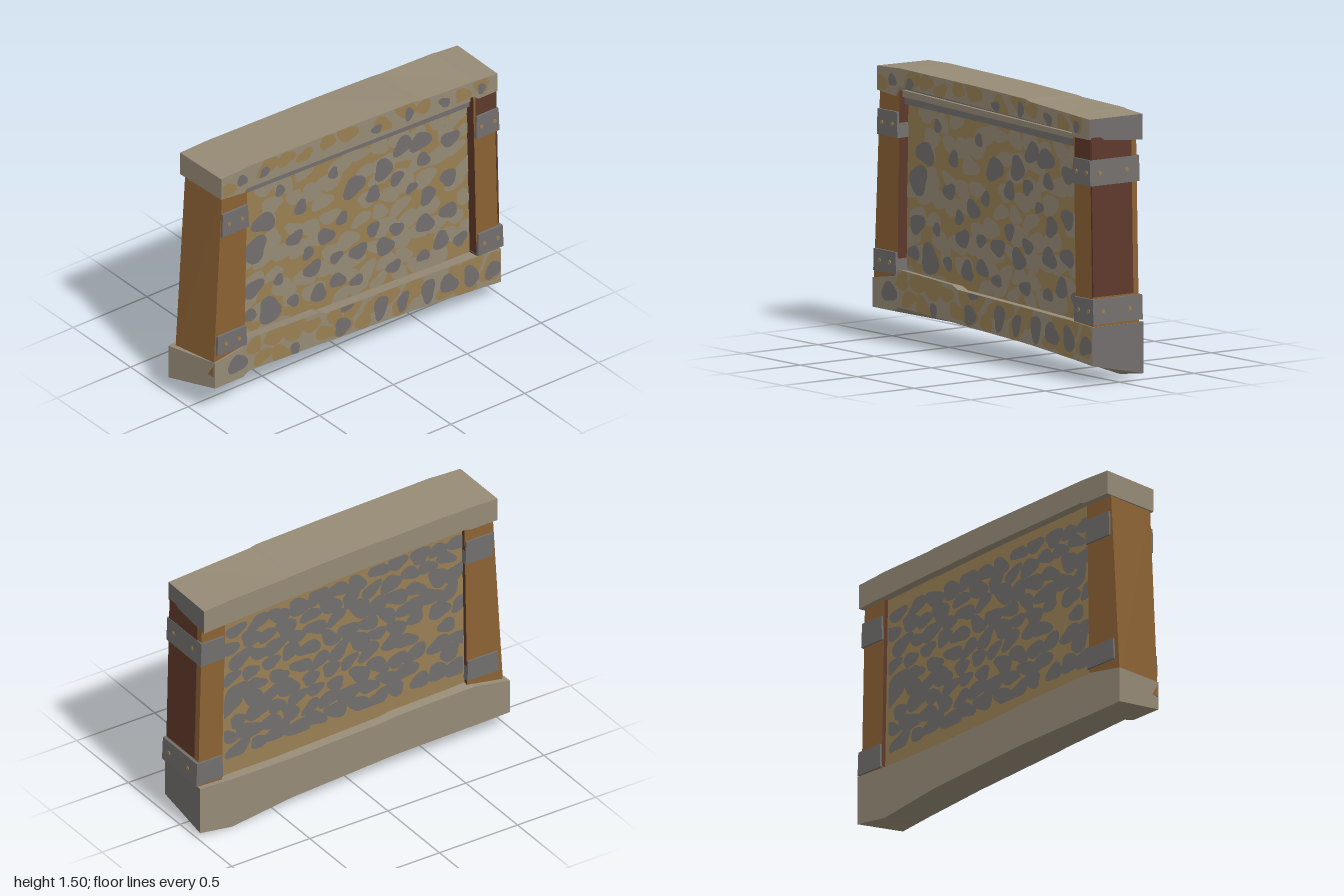
import * as THREE from 'three';
import { mergeGeometries } from 'three/addons/utils/BufferGeometryUtils.js';

const mat = (name, color) => Object.assign(new THREE.MeshStandardMaterial({ color }), { name });
const beige = mat('pale stone', 0x968b76), grey = mat('grey stone', 0x726f6d);
const tan = mat('tan mortar', 0x9a8054), wood = mat('orange wood', 0x8c6234);
const brown = mat('dark wood', 0x5e392b);

let seed = 11;
const rnd = () => (seed = (seed * 16807) % 2147483647) / 2147483647;

// Solid lofted through four-cornered sections; mats = 4 sides, start cap, end cap
function loft(name, sections, mats) {
  const pos = [], g = new THREE.BufferGeometry();
  const quad = (a, b, c, d) => pos.push(...a, ...b, ...c, ...a, ...c, ...d);
  const addGroup = (start, m) => g.addGroup(start, pos.length / 3 - start, m);
  for (let k = 0; k < 4; k++) {
    const start = pos.length / 3, n = (k + 1) % 4;
    for (let i = 0; i + 1 < sections.length; i++) {
      const a = sections[i], b = sections[i + 1];
      quad(a[k], a[n], b[n], b[k]);
    }
    addGroup(start, k);
  }
  const s = sections[0], e = sections[sections.length - 1];
  quad(s[3], s[2], s[1], s[0]);
  addGroup(pos.length / 3 - 6, 4);
  quad(e[0], e[1], e[2], e[3]);
  addGroup(pos.length / 3 - 6, 5);
  g.setAttribute('position', new THREE.Float32BufferAttribute(pos, 3));
  g.computeVertexNormals();
  const mesh = new THREE.Mesh(g, mats);
  mesh.name = name;
  return mesh;
}

// Beam along x; rows: x front, x back, front top, front bottom, back top, back bottom
const beam = (name, rows, zf, zb, mats) => loft(name, rows.map(([xf, xb, ft, fb, bt, bb]) =>
  [[xf, ft, zf], [xf, fb, zf], [xb, bb, zb], [xb, bt, zb]]), mats);

// Upright piece; rows: y, left front x, left back x, right x
const upright = (name, rows, zf, zb, mats) => loft(name, rows.map(([y, lf, lb, r]) =>
  [[lf, y, zf], [r, y, zf], [r, y, zb], [lb, y, zb]]), mats);

const six = m => Array(6).fill(m);

// Straight-line interpolation through [x, y] points
function along(points) {
  return x => {
    let i = 0;
    while (i < points.length - 2 && x > points[i + 1][0]) i++;
    const [x0, y0] = points[i], [x1, y1] = points[i + 1];
    return THREE.MathUtils.lerp(y0, y1, THREE.MathUtils.clamp((x - x0) / (x1 - x0), 0, 1));
  };
}

// Irregular flat patches [x, y, rx, ry], kept inside an area
function patches(name, material, list, z, area, back = false) {
  const geos = list.map(([x, y, rx, ry]) => {
    const p1 = rnd() * 6.28, p2 = rnd() * 6.28, turn = (rnd() - 0.5) * 1.2, pts = [];
    for (let i = 0; i < 18; i++) {
      const t = i / 18 * Math.PI * 2;
      const r = 1 + 0.13 * Math.sin(2 * t + p1) + 0.12 * Math.sin(3 * t + p2);
      const u = rx * r * Math.cos(t), v = ry * r * Math.sin(t);
      const px = THREE.MathUtils.clamp(x + u * Math.cos(turn) - v * Math.sin(turn), area.x0, area.x1);
      const py = THREE.MathUtils.clamp(y + u * Math.sin(turn) + v * Math.cos(turn), area.lo(px), area.hi(px));
      pts.push(new THREE.Vector2(back ? -px : px, py));
    }
    const g = new THREE.ShapeGeometry(new THREE.Shape(pts));
    if (back) g.rotateY(Math.PI);
    return g.translate(0, 0, z);
  });
  const mesh = new THREE.Mesh(mergeGeometries(geos), material);
  mesh.name = name;
  return mesh;
}

// Jittered grid of patch positions over an area
function scatter(area, cols, rows, rx, ry, chance) {
  const list = [], w = (area.x1 - area.x0) / cols;
  for (let j = 0; j < rows; j++) for (let i = 0; i < cols; i++) {
    const x = area.x0 + w * (i + 0.5 + (j % 2 ? 0.22 : -0.22) + (rnd() - 0.5) * 0.3);
    const lo = area.lo(x), h = (area.hi(x) - lo) / rows;
    const y = lo + h * (j + 0.5 + (rnd() - 0.5) * 0.4), s = 0.8 + rnd() * 0.4;
    if (rnd() < chance) list.push([x, y, rx * s, ry * s]);
  }
  return list;
}

export function createModel() {
  const wall = new THREE.Group();
  wall.name = 'framedStoneWall';

  // Sagging foot beam and coping
  const foot = [
    [-0.95, -1, 0.34, 0.18, 0.30, 0.10], [-0.76, -0.78, 0.37, 0.18, 0.34, 0.095],
    [-0.72, -0.72, 0.41, 0.205, 0.34, 0.095], [-0.25, -0.25, 0.385, 0.185, 0.33, 0.088],
    [-0.2, -0.2, 0.365, 0.18, 0.32, 0.085], [0.4, 0.4, 0.342, 0.15, 0.3, 0.05],
    [0.78, 0.78, 0.325, 0.12, 0.3, 0], [0.985, 0.985, 0.31, 0.1, 0.31, 0.03]];
  const coping = [
    [-0.91, -0.915, 1.49, 1.36, 1.485, 1.35], [-0.75, -0.75, 1.497, 1.345, 1.49, 1.35],
    [-0.71, -0.71, 1.5, 1.4, 1.49, 1.36], [0, 0, 1.485, 1.375, 1.475, 1.34],
    [0.4, 0.4, 1.472, 1.362, 1.46, 1.32], [0.44, 0.44, 1.462, 1.36, 1.455, 1.32],
    [0.8, 0.8, 1.44, 1.345, 1.445, 1.3], [0.83, 0.83, 1.438, 1.32, 1.44, 1.3],
    [0.96, 0.965, 1.43, 1.32, 1.43, 1.29]];
  const beamMats = [beige, beige, beige, beige, beige, grey];
  wall.add(beam('footBeam', foot, 0.17, -0.172, beamMats));
  wall.add(beam('coping', coping, 0.172, -0.18, beamMats));
  wall.add(beam('copingSoffit', [[-0.73, -0.73, 1.42, 1.3, 1.4, 1.3], [0, 0, 1.4, 1.285, 1.4, 1.3],
    [0.82, 0.82, 1.36, 1.255, 1.36, 1.27]], 0.125, 0, six(grey)));
  wall.add(beam('soffitLip', [[-0.72, -0.72, 1.378, 1.342, 1.378, 1.342],
    [0.8, 0.8, 1.33, 1.302, 1.33, 1.302]], 0.145, 0, six(beige)));

  // Recessed panel
  wall.add(beam('panel', [[-0.76, -0.76, 1.42, 0.25, 1.42, 0.25],
    [0.85, 0.85, 1.36, 0.25, 1.36, 0.25]], 0.1, -0.12, six(tan)));

  // Corner posts
  wall.add(upright('rightPost', [[0.25, -0.955, -0.975, -0.745], [1.4, -0.895, -0.905, -0.725]],
    0.16, -0.145, [wood, brown, wood, wood, wood, wood]));
  wall.add(upright('leftPost', [[0.25, 0.83, 0.83, 0.982], [1.36, 0.805, 0.805, 0.955]],
    0.16, -0.145, [wood, wood, wood, brown, wood, wood]));
  wall.add(upright('darkSideBoard', [[0.47, 0.97, 0.97, 0.981], [1.33, 0.95, 0.95, 0.961]],
    0.161, -0.108, six(brown)));
  wall.add(upright('darkPostTop', [[1.2, 0.82, 0.82, 0.96], [1.34, 0.82, 0.82, 0.958]],
    0.163, 0.15, six(brown)));

  // Metal straps with rivets: y low, y high, outer x and inner x at the bottom and top
  const straps = [
    ['rightUpperStrap', 1.12, 1.26, -0.905, -0.725], ['rightLowerStrap', 0.38, 0.5, -0.938, -0.737],
    ['leftUpperStrap', 1.07, 1.21, 0.815, 0.972], ['leftLowerStrap', 0.325, 0.46, 0.828, 1]];
  const disc = new THREE.CylinderGeometry(0.012, 0.012, 0.008, 8).rotateX(Math.PI / 2);
  const rivet = (x, y, z, turn = 0) => {
    const m = new THREE.Mesh(disc, tan);
    m.name = 'rivet';
    m.position.set(x, y, z);
    m.rotation.y = turn;
    wall.add(m);
  };
  for (const [name, y0, y1, x0, x1] of straps) {
    wall.add(upright(name, [[y0, x0, x0, x1], [y1, x0 + 0.004, x0 + 0.004, x1 - 0.006]],
      0.175, -0.157, six(grey)));
    const y = (y0 + y1) / 2, mid = (x0 + x1) / 2;
    for (const s of [-1, 1]) {
      rivet(mid + s * 0.045, y, 0.176);
      if (x0 > 0) rivet(x1 - 0.003, y, 0.02 + s * 0.09, Math.PI / 2);
    }
  }

  // Front stonework: pale blotches beneath grey stones (x, y, radius)
  const front = { x0: -0.735, x1: 0.82, lo: () => 0.32, hi: along([[-0.73, 1.31], [0.82, 1.26]]) };
  wall.add(patches('paleStones', beige, scatter(front, 12, 9, 0.075, 0.05, 0.72), 0.103, front));
  const stones = [
    [-0.57, 1.05, 0.07], [-0.63, 0.9, 0.08], [-0.64, 0.66, 0.06], [-0.53, 0.48, 0.08],
    [-0.37, 0.48, 0.04], [-0.67, 0.5, 0.045], [-0.36, 0.87, 0.05], [-0.32, 1.05, 0.045],
    [-0.24, 0.63, 0.055], [-0.15, 0.8, 0.055], [-0.04, 0.87, 0.04], [0.04, 1.04, 0.07],
    [0.17, 0.94, 0.05], [0.24, 1.07, 0.065], [0.37, 1.17, 0.06], [0.49, 1.15, 0.065],
    [0.69, 1.09, 0.055], [0.51, 1.03, 0.045], [0.33, 0.98, 0.045], [0.68, 0.85, 0.055],
    [0.54, 0.79, 0.055], [0.52, 0.62, 0.06], [0.68, 0.64, 0.055], [0.63, 0.47, 0.055],
    [0.76, 0.43, 0.045], [0.51, 0.42, 0.04], [0.33, 0.66, 0.045], [0.25, 0.58, 0.06],
    [0.17, 0.72, 0.045], [0.07, 0.62, 0.055], [-0.27, 0.74, 0.04], [-0.2, 0.46, 0.055],
    [-0.07, 0.49, 0.05], [0.06, 0.44, 0.04], [0.31, 0.43, 0.045], [-0.47, 0.65, 0.035],
    [-0.46, 1.21, 0.035], [-0.1, 1.18, 0.035], [0.43, 0.88, 0.035], [-0.08, 0.64, 0.04]];
  wall.add(patches('greyStones', grey, stones.map(([x, y, r]) => [x, y, r * 1.05, r * 0.95]), 0.106, front));

  // Denser stonework on the back
  const rear = { x0: -0.73, x1: 0.8, lo: along([[-0.73, 0.42], [0.8, 0.4]]), hi: along([[-0.73, 1.32], [0.8, 1.24]]) };
  wall.add(patches('backStones', grey, scatter(rear, 12, 9, 0.07, 0.047, 0.97), -0.124, rear, true));

  // Worn patches on the beam fronts
  const edge = (rows, k) => along(rows.map(r => [r[0], r[k]]));
  const footFace = { x0: -0.94, x1: 0.98, lo: edge(foot, 3), hi: edge(foot, 2) };
  const capFace = { x0: -0.9, x1: 0.955, lo: edge(coping, 3), hi: edge(coping, 2) };
  wall.add(patches('footTanPatches', tan, scatter(footFace, 14, 2, 0.075, 0.055, 0.75), 0.172, footFace));
  wall.add(patches('copingTanPatches', tan, scatter(capFace, 14, 1, 0.06, 0.045, 0.75), 0.174, capFace));
  wall.add(patches('footGreyPatches', grey, [
    [-0.8, 0.28, 0.06, 0.06], [-0.41, 0.22, 0.03, 0.05], [-0.09, 0.24, 0.06, 0.05],
    [-0.06, 0.36, 0.04, 0.04], [0.17, 0.26, 0.05, 0.07], [0.32, 0.24, 0.04, 0.06],
    [0.49, 0.24, 0.05, 0.07], [0.63, 0.23, 0.06, 0.06], [0.78, 0.22, 0.05, 0.07],
    [0.93, 0.2, 0.05, 0.06]], 0.174, footFace));
  wall.add(patches('copingGreyPatches', grey, [
    [-0.62, 1.42, 0.04, 0.03], [-0.77, 1.43, 0.03, 0.04], [0.14, 1.4, 0.04, 0.025],
    [0.36, 1.41, 0.03, 0.04], [0.6, 1.39, 0.04, 0.03], [0.85, 1.38, 0.03, 0.03]], 0.176, capFace));
  return wall;
}
